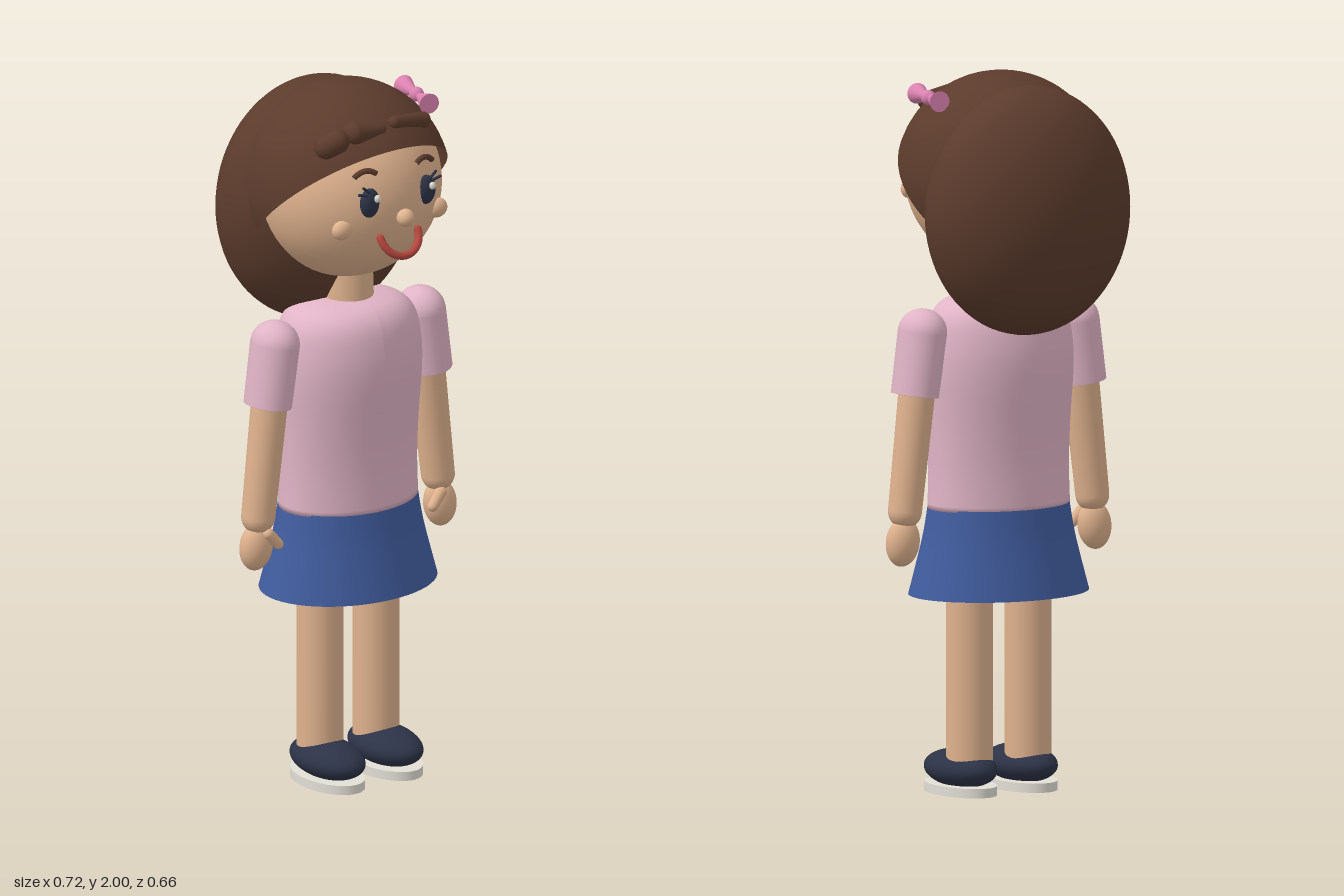
import * as THREE from 'three';

const mat = (name, color, side = THREE.FrontSide) => {
  const m = new THREE.MeshStandardMaterial({ color, side });
  m.name = name;
  return m;
};

export function createModel() {
  const skin = mat('skin', 0xdfb28e);
  const hair = mat('hair brown', 0x5b3b2c, THREE.DoubleSide);
  const shirt = mat('shirt pink', 0xe0b4c6, THREE.DoubleSide);
  const blue = mat('skirt blue', 0x415d9f, THREE.DoubleSide);
  const navy = mat('navy', 0x2d3347);
  const white = mat('off white', 0xe2ded6);
  const red = mat('mouth red', 0xb5473e);
  const pink = mat('bow pink', 0xdb82b0);

  const model = new THREE.Group();
  model.name = 'girl';
  const V = (x, y, z) => new THREE.Vector3(x, y, z);
  const UP = V(0, 1, 0);
  const CZ = 0.033; // depth of the body axis

  function add(name, geometry, material, x = 0, y = 0, z = 0) {
    const mesh = new THREE.Mesh(geometry, material);
    mesh.name = name;
    mesh.position.set(x, y, z);
    model.add(mesh);
    return mesh;
  }

  // Ellipsoid given centre and radii
  function ball(name, material, c, r, seg = 32) {
    const mesh = add(name, new THREE.SphereGeometry(1, seg, Math.ceil(seg * 0.7)), material, ...c);
    mesh.scale.set(...r);
    return mesh;
  }

  // Tapered limb from a to b; each end can be rounded or flat
  function limb(name, material, a, b, ra, rb, roundA = true, roundB = true, seg = 28) {
    const A = V(...a), B = V(...b), len = A.distanceTo(B), pts = [];
    if (roundA) for (let i = 0; i <= 8; i++) {
      const t = (i / 8) * Math.PI / 2;
      pts.push(new THREE.Vector2(ra * Math.sin(t), -ra * Math.cos(t)));
    } else pts.push(new THREE.Vector2(0, 0), new THREE.Vector2(ra, 0), new THREE.Vector2(ra, 0.0005));
    if (roundB) for (let i = 0; i <= 8; i++) {
      const t = (i / 8) * Math.PI / 2;
      pts.push(new THREE.Vector2(rb * Math.cos(t), len + rb * Math.sin(t)));
    } else pts.push(new THREE.Vector2(rb, len - 0.0005), new THREE.Vector2(rb, len), new THREE.Vector2(0, len));
    const mesh = add(name, new THREE.LatheGeometry(pts, seg), material, ...a);
    mesh.quaternion.setFromUnitVectors(UP, B.sub(A).normalize());
    return mesh;
  }

  const curve = (pts, n) =>
    new THREE.SplineCurve(pts.map(([r, y]) => new THREE.Vector2(r, y))).getPoints(n);

  // Head and neck
  ball('head', skin, [0, 1.715, 0.02], [0.265, 0.265, 0.267], 48);
  add('neck', new THREE.CylinderGeometry(0.068, 0.072, 0.14, 32), skin, 0, 1.42, CZ);

  // Hair: a tilted cap in front and a full rounded mass behind
  const cap = add('hairCap', new THREE.SphereGeometry(0.29, 56, 32, 0, Math.PI * 2, 0, 1.73), hair, 0, 1.71, 0.02);
  cap.rotation.x = -0.747;
  ball('backHair', hair, [0, 1.63, -0.115], [0.305, 0.345, 0.215], 56);

  // Fringe locks
  limb('fringeLockRight', hair, [-0.18, 1.892, 0.18], [-0.15, 1.905, 0.19], 0.033, 0.034);
  limb('fringeLockMiddle', hair, [-0.095, 1.922, 0.2], [-0.02, 1.92, 0.21], 0.033, 0.018);
  limb('fringeLockLeft', hair, [0.028, 1.93, 0.21], [0.14, 1.908, 0.188], 0.018, 0.023);

  // Bow
  const knot = V(0.205, 1.935, 0.07);
  ball('bowKnot', pink, knot.toArray(), [0.021, 0.021, 0.021], 20);
  for (const [x, z] of [[0.22, -0.012], [0.187, 0.155]]) {
    const end = V(x, 1.935, z);
    const dir = knot.clone().sub(end).normalize();
    const loop = add('bowLoop', new THREE.CylinderGeometry(0.006, 0.029, 0.08, 24), pink,
      ...end.clone().addScaledVector(dir, 0.04).toArray());
    loop.quaternion.setFromUnitVectors(UP, dir);
  }

  // Nose and smile
  ball('nose', skin, [0, 1.685, 0.303], [0.025, 0.025, 0.025], 24);
  const mouth = new THREE.Group();
  mouth.name = 'mouth';
  const smile = new THREE.Mesh(new THREE.TorusGeometry(0.063, 0.011, 12, 32, Math.PI), red);
  smile.name = 'smile';
  smile.rotation.z = Math.PI;
  mouth.add(smile);
  for (const s of [-1, 1]) {
    const tip = new THREE.Mesh(new THREE.SphereGeometry(0.011, 12, 8), red);
    tip.name = 'smileCorner';
    tip.position.x = s * 0.063;
    mouth.add(tip);
  }
  mouth.position.set(0, 1.63, 0.272);
  mouth.rotation.x = -0.5;
  model.add(mouth);

  // Torso: lathe, flattened a little more at the waist than at the chest
  const torso = new THREE.LatheGeometry([new THREE.Vector2(0, 0.795), ...curve([
    [0.211, 0.795], [0.208, 0.9], [0.211, 1.03], [0.218, 1.17], [0.214, 1.26],
    [0.196, 1.33], [0.155, 1.37], [0.09, 1.387], [0.06, 1.388]], 40)], 48);
  const p = torso.attributes.position;
  for (let i = 0; i < p.count; i++) {
    const t = THREE.MathUtils.smoothstep(p.getY(i), 0.9, 1.25);
    p.setZ(i, p.getZ(i) * (0.72 + 0.08 * t));
  }
  torso.computeVertexNormals();
  add('shirtBody', torso, shirt, 0, 0, CZ);

  // Open flared skirt
  const skirt = new THREE.LatheGeometry(curve([[0.263, 0.555], [0.24, 0.64], [0.22, 0.72], [0.206, 0.8]], 16), 56);
  add('skirt', skirt, blue, 0, 0, CZ).scale.z = 0.79;

  for (const s of [1, -1]) {
    const side = s > 0 ? 'left' : 'right';

    // Eye with highlight, lashes, brow and cheek
    ball(side + 'Eye', navy, [s * 0.095, 1.737, 0.266], [0.03, 0.042, 0.02], 28);
    ball(side + 'EyeHighlight', white, [s * 0.093 + 0.01, 1.752, 0.286], [0.01, 0.011, 0.008], 14);
    limb(side + 'LashLower', navy, [s * 0.105, 1.762, 0.275], [s * 0.137, 1.77, 0.275], 0.004, 0.004, true, true, 10);
    limb(side + 'LashUpper', navy, [s * 0.1, 1.768, 0.275], [s * 0.122, 1.787, 0.275], 0.004, 0.004, true, true, 10);
    const brow = new THREE.QuadraticBezierCurve3(
      V(s * 0.068, 1.815, 0.258), V(s * 0.1, 1.84, 0.252), V(s * 0.132, 1.81, 0.243));
    add(side + 'Brow', new THREE.TubeGeometry(brow, 14, 0.008, 10), hair);
    ball(side + 'Cheek', skin, [s * 0.16, 1.66, 0.228], [0.032, 0.028, 0.022], 24);

    // Sleeve, arm and hand
    limb(side + 'Sleeve', shirt, [s * 0.272, 1.12, CZ], [s * 0.247, 1.292, CZ], 0.064, 0.066, false, true)
      .scale.z = 1.12;
    limb(side + 'Arm', skin, [s * 0.304, 0.8, CZ], [s * 0.255, 1.22, CZ], 0.047, 0.052);
    const hand = ball(side + 'Hand', skin, [s * 0.311, 0.715, CZ], [0.049, 0.068, 0.04], 28);
    hand.rotation.z = s * 0.12;
    limb(side + 'Thumb', skin, [s * 0.292, 0.756, CZ + 0.03], [s * 0.262, 0.722, CZ + 0.035], 0.017, 0.015, true, true, 16);

    // Leg, shoe and sole
    limb(side + 'Leg', skin, [s * 0.095, 0.09, CZ], [s * 0.095, 0.535, CZ], 0.065, 0.065, false, true);
    ball(side + 'Shoe', navy, [s * 0.098, 0.068, 0.073], [0.083, 0.053, 0.137], 36);
    add(side + 'Sole', new THREE.CylinderGeometry(0.083, 0.083, 0.026, 40), white, s * 0.098, 0.013, 0.073)
      .scale.z = 1.62;
  }
  return model;
}
